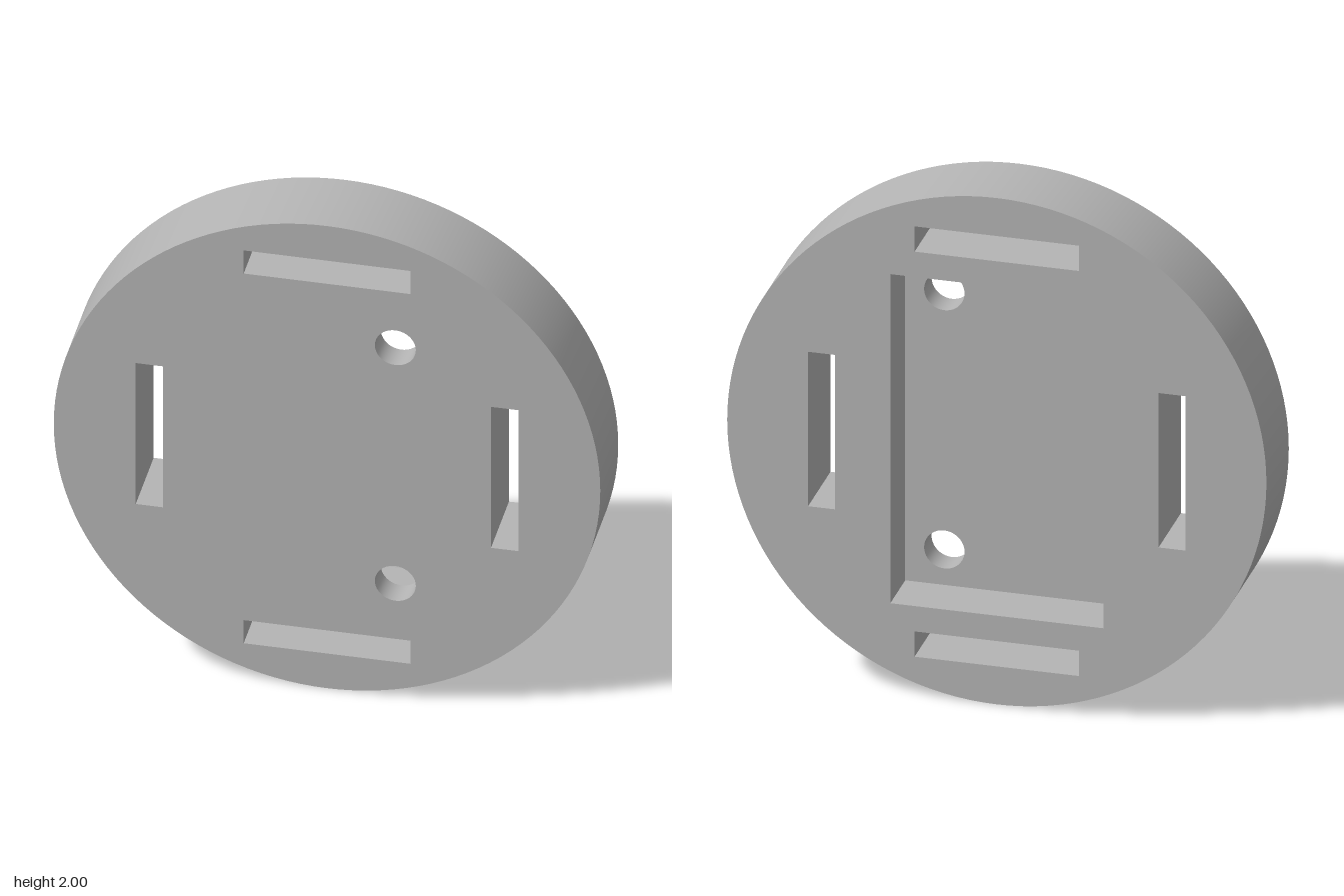
import * as THREE from 'three';
import { mergeGeometries, toCreasedNormals } from 'three/addons/utils/BufferGeometryUtils.js';

const FRONT = 0.15, BACK = -0.15, FLOOR = 0.05;

// Counter-clockwise outlines
const circle = (x, y, r, n) => Array.from({ length: n }, (_, i) => {
  const a = (i / n) * Math.PI * 2;
  return new THREE.Vector2(x + r * Math.cos(a), y + r * Math.sin(a));
});
const rect = (x, y, w, h) => [[-1, -1], [1, -1], [1, 1], [-1, 1]]
  .map(([sx, sy]) => new THREE.Vector2(x + sx * w / 2, y + sy * h / 2));

// Flat face at depth z with openings, facing +z or -z
function face(outline, holes, z, backward) {
  const shape = new THREE.Shape(outline);
  shape.holes = holes.map((h) => new THREE.Path(h));
  const g = new THREE.ShapeGeometry(shape);
  if (backward) {
    // reverse the corner order so the face looks backward
    g.index.array.reverse();
    g.computeVertexNormals();
  }
  return g.translate(0, 0, z);
}

// Wall along an outline; facing out for a rim, in for an opening
function wall(outline, z0, z1, inward) {
  const pos = [];
  outline.forEach((p, i) => {
    const q = outline[(i + 1) % outline.length];
    const [a, b] = inward ? [q, p] : [p, q];
    pos.push(a.x, a.y, z0, b.x, b.y, z0, b.x, b.y, z1);
    pos.push(a.x, a.y, z0, b.x, b.y, z1, a.x, a.y, z1);
  });
  const g = new THREE.BufferGeometry();
  g.setAttribute('position', new THREE.Float32BufferAttribute(pos, 3));
  return toCreasedNormals(g, 0.6);
}

export function createModel() {
  const model = new THREE.Group();
  const grey = new THREE.MeshStandardMaterial({ color: 0xb4b4b4 });
  grey.name = 'plain grey';
  const add = (name, geometry) => {
    const mesh = new THREE.Mesh(geometry, grey);
    mesh.name = name;
    model.add(mesh);
  };

  const disc = circle(0, 1, 1, 128);
  const pocket = rect(0, 1, 0.79, 1.3);
  const slots = [];
  for (const s of [-1, 1]) {
    slots.push(rect(0, 1 + s * 0.8, 0.61, 0.1));
    slots.push(rect(s * 0.65, 1, 0.1, 0.61));
  }
  const bores = [-1, 1].map((s) => circle(0.25, 1 + s * 0.51, 0.075, 40));

  // Disc body
  add('frontFace', face(disc, [...slots, ...bores], FRONT, false));
  add('backFace', face(disc, [...slots, pocket], BACK, true));
  add('rim', wall(disc, BACK, FRONT, false));

  // Strap slots right through the disc
  add('slotWalls', mergeGeometries(slots.map((s) => wall(s, BACK, FRONT, true))));

  // Rectangular pocket sunk into the back, with two bores through its floor
  add('pocketFloor', face(pocket, bores, FLOOR, true));
  add('pocketWalls', wall(pocket, BACK, FLOOR, true));
  add('boreWalls', mergeGeometries(bores.map((b) => wall(b, FLOOR, FRONT, true))));

  return model;
}
